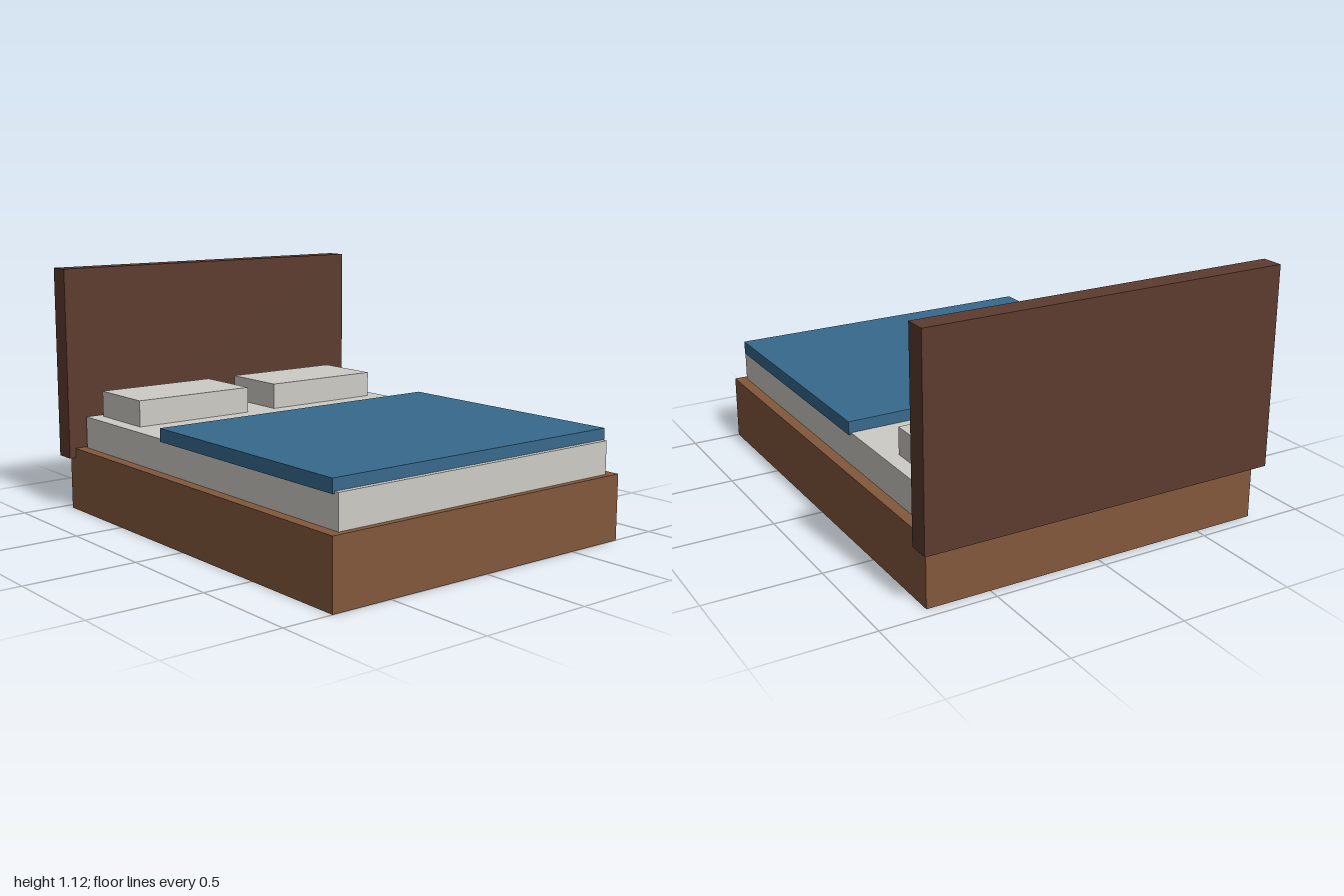
import * as THREE from 'three';

const material = (name, color) => {
  const m = new THREE.MeshStandardMaterial({ color });
  m.name = name;
  return m;
};

// Box given by its extents along each axis
function slab(name, mat, [x0, x1], [y0, y1], [z0, z1]) {
  const mesh = new THREE.Mesh(new THREE.BoxGeometry(x1 - x0, y1 - y0, z1 - z0), mat);
  mesh.name = name;
  mesh.position.set((x0 + x1) / 2, (y0 + y1) / 2, (z0 + z1) / 2);
  return mesh;
}

export function createModel() {
  const wood = material('wood', 0x83583b);
  const darkWood = material('dark wood', 0x5c3b2e);
  const linen = material('linen', 0xcecbc5);
  const blue = material('blue fabric', 0x37698d);

  const bed = new THREE.Group();
  bed.name = 'bed';

  // Frame and headboard
  bed.add(slab('bedFrame', wood, [-0.778, 0.778], [0, 0.292], [-0.95, 1]));
  bed.add(slab('headboard', darkWood, [-0.808, 0.808], [0.247, 1.122], [-1, -0.903]));

  // Bedding
  bed.add(slab('mattress', linen, [-0.729, 0.729], [0.28, 0.438], [-0.882, 0.972]));
  bed.add(slab('blanket', blue, [-0.739, 0.739], [0.429, 0.488], [-0.219, 0.95]));

  // Pillows, one on each side
  for (const [name, side] of [['leftPillow', 1], ['rightPillow', -1]]) {
    const pillow = slab(name, linen, [0.076, 0.661], [0.43, 0.556], [-0.845, -0.514]);
    pillow.position.x *= side;
    bed.add(pillow);
  }
  return bed;
}
